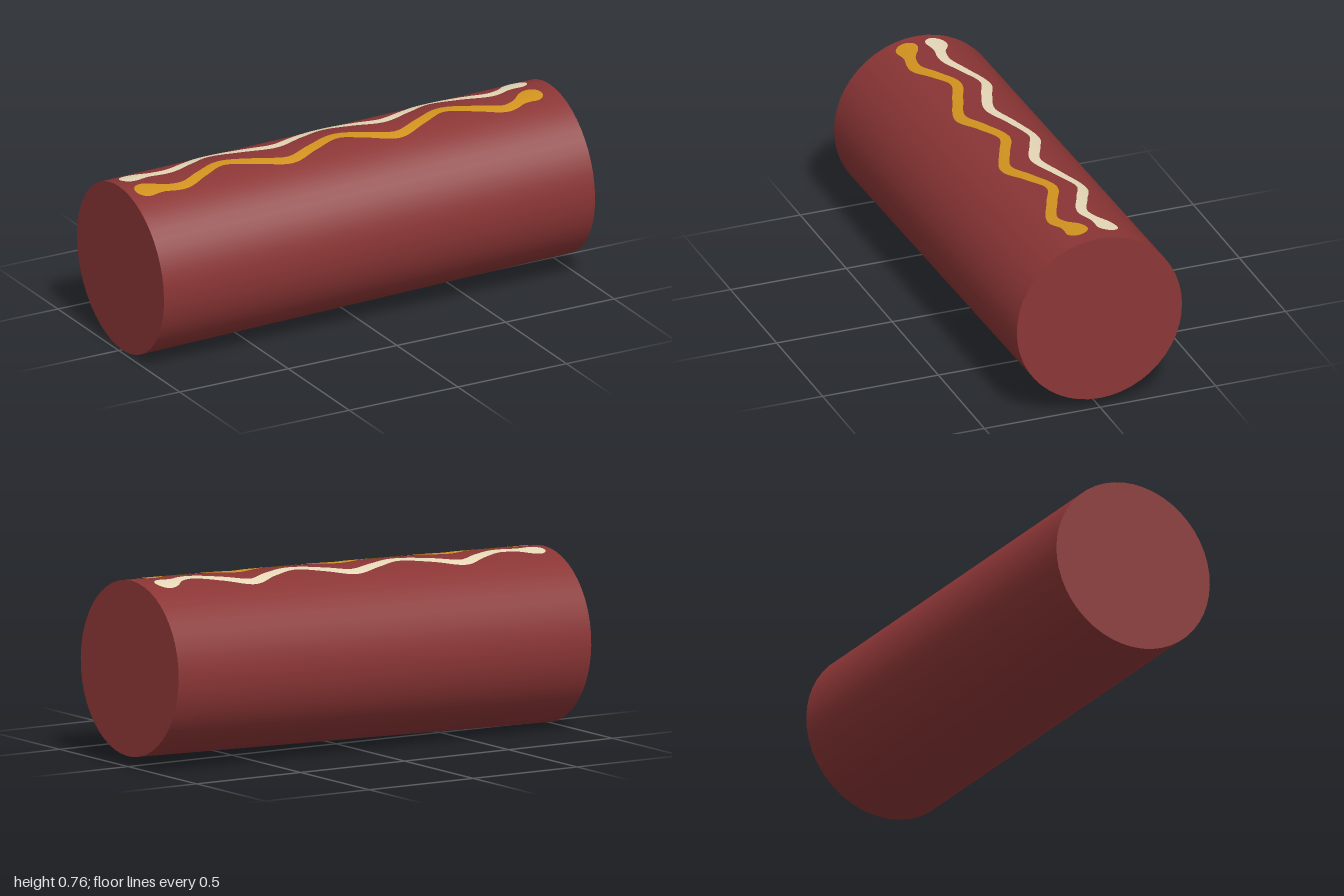
import * as THREE from 'three';

const RADIUS = 0.357;
const LENGTH = 1.985;

const mat = (name, color, side = THREE.FrontSide) =>
  Object.assign(new THREE.MeshStandardMaterial({ color, side }), { name });

// Wavy ribbon wrapped on top of the cylinder, with round blobs at both ends.
function sauceGeometry(points) {
  const curve = new THREE.CatmullRomCurve3(points.map(([x, z]) => new THREE.Vector3(x, 0, z)));
  curve.arcLengthDivisions = 600;
  const total = curve.getLength();
  const steps = 240, across = 6, blob = 0.045, thin = 0.022;
  const halfWidth = (s) => s < blob
    ? Math.sqrt(Math.max(0, blob * blob - (blob - s) ** 2))
    : thin + (blob - thin) * (1 - THREE.MathUtils.smoothstep(s, blob, blob + 0.09));
  const positions = [], indices = [];
  for (let i = 0; i <= steps; i++) {
    // cosine spacing packs samples into the rounded ends
    const u = (1 - Math.cos((Math.PI * i) / steps)) / 2;
    const p = curve.getPointAt(u), t = curve.getTangentAt(u);
    const w = Math.max(0.0005, halfWidth(Math.min(u, 1 - u) * total));
    for (let j = 0; j <= across; j++) {
      const o = w * ((2 * j) / across - 1);
      const z = p.z + t.x * o;
      positions.push(p.x - t.z * o, Math.sqrt((RADIUS + 0.002) ** 2 - z * z), z);
      if (i < steps && j < across) {
        const a = i * (across + 1) + j, c = a + across + 1;
        indices.push(a, a + 1, c, a + 1, c + 1, c);
      }
    }
  }
  const geo = new THREE.BufferGeometry();
  geo.setAttribute('position', new THREE.Float32BufferAttribute(positions, 3));
  geo.setIndex(indices);
  geo.computeVertexNormals();
  return geo;
}

export function createModel() {
  const model = new THREE.Group();
  model.name = 'sausage';
  const add = (name, geo, material) => {
    const mesh = new THREE.Mesh(geo, material);
    mesh.name = name;
    model.add(mesh);
  };

  // Sausage body, lying along x
  const body = new THREE.CylinderGeometry(RADIUS, RADIUS, LENGTH, 48);
  body.rotateZ(-Math.PI / 2);
  add('body', body, mat('sausageRed', 0x8b3535));

  // Two squiggles of sauce along the top, as [x, z] points
  add('creamSauce', sauceGeometry([
    [-0.955, -0.06], [-0.89, -0.053], [-0.75, -0.03], [-0.64, -0.07], [-0.53, -0.115],
    [-0.4, -0.07], [-0.26, -0.03], [-0.13, -0.075], [0, -0.115], [0.11, -0.075], [0.235, -0.03],
    [0.37, -0.075], [0.49, -0.125], [0.61, -0.08], [0.74, -0.032], [0.86, -0.075], [0.925, -0.085],
  ]), mat('cream', 0xe6d8b8, THREE.DoubleSide));
  add('mustardSauce', sauceGeometry([
    [-0.955, 0.065], [-0.89, 0.075], [-0.75, 0.1], [-0.64, 0.055], [-0.53, 0.012],
    [-0.4, 0.055], [-0.26, 0.1], [-0.13, 0.055], [0, 0.012], [0.11, 0.055], [0.235, 0.1],
    [0.37, 0.05], [0.49, 0.003], [0.61, 0.05], [0.74, 0.098], [0.86, 0.055], [0.925, 0.045],
  ]), mat('mustard', 0xd0921e, THREE.DoubleSide));

  // Slight tilt: the left end sits higher
  model.rotation.z = 0.021;
  model.position.y = 0.378;
  const root = new THREE.Group();
  root.name = 'model';
  root.add(model);
  return root;
}
